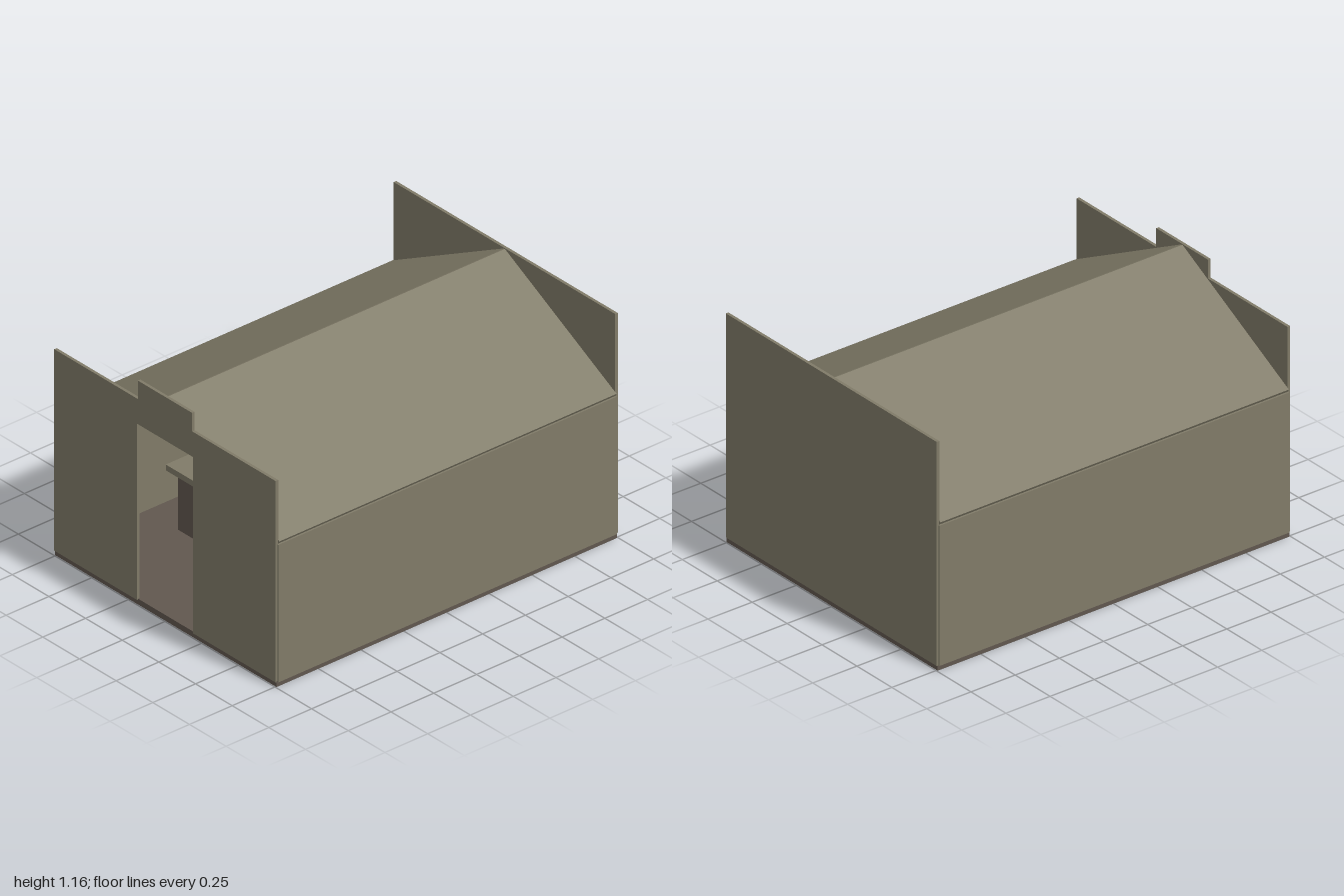
import * as THREE from 'three';

const plaster = new THREE.MeshStandardMaterial({ color: 0x807b68 });
plaster.name = 'khaki plaster';
const timber = new THREE.MeshStandardMaterial({ color: 0x61574f });
timber.name = 'dark timber';

export function createModel() {
  const house = new THREE.Group();
  house.name = 'house';

  const add = (parent, name, geometry, material) => {
    const mesh = new THREE.Mesh(geometry, material);
    mesh.name = name;
    parent.add(mesh);
    return mesh;
  };
  // Box given by its limits along each axis
  const box = (parent, name, material, [x0, x1], [y0, y1], [z0, z1]) => {
    const mesh = add(parent, name, new THREE.BoxGeometry(x1 - x0, y1 - y0, z1 - z0), material);
    mesh.position.set((x0 + x1) / 2, (y0 + y1) / 2, (z0 + z1) / 2);
    return mesh;
  };
  // Outline in x and y, extruded from z0 to z1
  const plate = (parent, name, material, points, z0, z1) => {
    const shape = new THREE.Shape(points.map(([x, y]) => new THREE.Vector2(x, y)));
    const geometry = new THREE.ExtrudeGeometry(shape, { depth: z1 - z0, bevelEnabled: false });
    const mesh = add(parent, name, geometry, material);
    mesh.position.z = z0;
    return mesh;
  };

  // Shell: floor, end walls and side walls
  box(house, 'floor', timber, [-0.755, 0.755], [0, 0.03], [-0.995, 0.995]);
  box(house, 'backWall', plaster, [-0.755, 0.755], [0.025, 1.16], [-1, -0.985]);
  plate(house, 'frontWall', plaster, [
    [-0.755, 0.025], [-0.19, 0.025], [-0.19, 0.935], [0.19, 0.935], [0.19, 0.025], [0.755, 0.025],
    [0.755, 1.065], [0.185, 1.065], [0.185, 1.16], [-0.185, 1.16], [-0.185, 1.065], [-0.755, 1.065],
  ], 0.985, 1);
  for (const side of [-1, 1]) {
    const wall = box(house, side > 0 ? 'leftWall' : 'rightWall', plaster,
      [-0.007, 0.007], [0.025, 0.735], [-0.99, 0.99]);
    wall.position.x = side * 0.755;

    // Roof slope with a square-cut eave and a narrow gap at the ridge
    const s = side;
    plate(house, s > 0 ? 'leftRoof' : 'rightRoof', plaster, [
      [s * 0.003, 1.157], [s * 0.764, 0.752], [s * 0.755, 0.737], [s * 0.003, 1.138],
    ], -0.986, 0.986);
  }

  // Hanging lamp
  const lamp = new THREE.Group();
  lamp.name = 'hangingLamp';
  house.add(lamp);
  box(lamp, 'lampCord', timber, [-0.003, 0.003], [0.87, 1.14], [-0.003, 0.003]);
  box(lamp, 'lampShade', plaster, [-0.027, 0.027], [0.8, 0.873], [-0.027, 0.027]);

  // Bookcase against the back wall
  const bookcase = new THREE.Group();
  bookcase.name = 'bookcase';
  house.add(bookcase);
  box(bookcase, 'bookcaseBack', timber, [-0.34, 0.34], [0.03, 0.5], [-0.98, -0.965]);
  for (const y of [0.03, 0.25, 0.485]) {
    box(bookcase, 'bookcaseShelf', timber, [-0.34, 0.34], [y, y + 0.02], [-0.965, -0.8]);
  }
  for (const x of [-0.34, 0.325]) {
    box(bookcase, 'bookcaseSide', timber, [x, x + 0.015], [0.03, 0.5], [-0.965, -0.8]);
  }
  for (const y of [0.05, 0.27]) {
    for (let i = 0; i < 18; i++) {
      const x = -0.31 + i * 0.034;
      const h = 0.1 + 0.012 * ((i * 5) % 4);
      box(bookcase, 'book', plaster, [x, x + 0.029], [y, y + h], [-0.95, -0.83]);
    }
  }
  box(bookcase, 'bookRail', plaster, [-0.34, 0.34], [0.35, 0.37], [-0.82, -0.79]);

  // Long counter on the right-hand side
  const counter = new THREE.Group();
  counter.name = 'counter';
  house.add(counter);
  box(counter, 'counterTop', plaster, [-0.56, -0.23], [0.34, 0.37], [-0.4, 0.515]);
  box(counter, 'counterBody', timber, [-0.53, -0.26], [0.03, 0.34], [-0.37, 0.47]);

  // Chest in the middle of the room with a small jar
  box(house, 'chest', timber, [-0.105, 0.105], [0.03, 0.225], [-0.3, -0.05]);
  const jar = add(house, 'jar', new THREE.CylinderGeometry(0.014, 0.014, 0.04, 10), plaster);
  jar.position.set(0, 0.245, -0.17);

  // Tall cupboard with leaning boards on the left-hand side
  const cupboard = new THREE.Group();
  cupboard.name = 'cupboard';
  house.add(cupboard);
  box(cupboard, 'cupboardLower', timber, [0.135, 0.5], [0.03, 0.53], [-0.3, 0.25]);
  box(cupboard, 'cupboardLedge', timber, [0.07, 0.52], [0.53, 0.555], [-0.33, 0.28]);
  box(cupboard, 'cupboardUpper', timber, [0.12, 0.5], [0.555, 0.83], [-0.3, 0.2]);
  plate(cupboard, 'lowerBoard', timber,
    [[0.11, 0.19], [0.13, 0.19], [0.105, 0.555], [0.055, 0.555]], 0.0, 0.29);
  plate(cupboard, 'upperBoard', timber,
    [[0.1, 0.555], [0.12, 0.555], [0.12, 0.815], [0.08, 0.815]], -0.2, 0.1);

  // Narrow panel beside the doorway
  box(house, 'doorPanel', timber, [-0.205, -0.18], [0.48, 0.75], [-0.975, -0.9]);
  return house;
}
